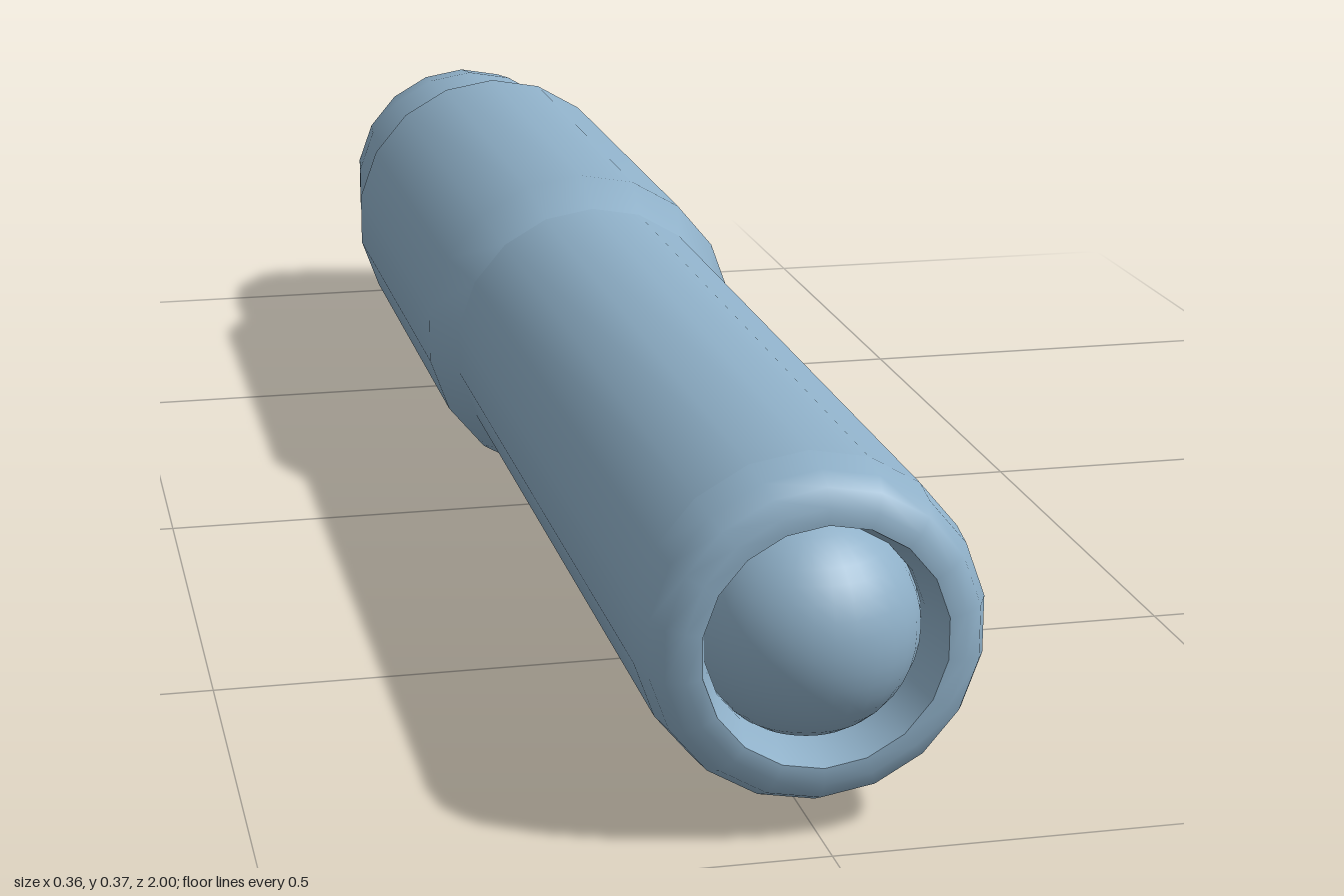
import * as THREE from 'three';

const SIDES = 18;
const AXIS_Y = 0.185;

export function createModel() {
  const model = new THREE.Group();
  const material = new THREE.MeshStandardMaterial({ color: 0x8fb0c8 });

  // Turned section along z: [radius, z] points, listed so the surface faces outward
  function turned(name, points) {
    const geometry = new THREE.LatheGeometry(points.map(([r, z]) => new THREE.Vector2(r, z)), SIDES);
    geometry.rotateX(Math.PI / 2);
    const mesh = new THREE.Mesh(geometry, material);
    mesh.name = name;
    mesh.position.y = AXIS_Y;
    model.add(mesh);
  }

  // Rear socket: closed bore, small step and flared mouth
  turned('rearBoreEnd', [[0, -0.84], [0.078, -0.84]]);
  turned('rearBore', [[0.078, -0.84], [0.078, -0.94]]);
  turned('rearBoreStep', [[0.078, -0.94], [0.09, -0.94]]);
  turned('rearMouth', [[0.09, -0.94], [0.122, -1]]);

  // Outer shell from the rounded tail to the front lip
  turned('tail', [[0.122, -1], [0.152, -0.94], [0.161, -0.87], [0.161, -0.76]]);
  turned('collar', [[0.161, -0.76], [0.185, -0.69], [0.185, -0.1], [0.161, -0.03]]);
  turned('barrel', [[0.161, -0.03], [0.161, 0.9]]);
  turned('frontLip', [[0.161, 0.9], [0.156, 0.94], [0.146, 0.96], [0.13, 0.97], [0.114, 0.97]]);

  // Tapered seat holding the ball
  turned('ballSeat', [[0.114, 0.97], [0.103, 0.93], [0.103, 0.85]]);

  // Ball protruding slightly from the front
  const ball = new THREE.Mesh(new THREE.SphereGeometry(0.105, 32, 20), material);
  ball.name = 'ball';
  ball.position.set(0, AXIS_Y, 0.895);
  model.add(ball);

  return model;
}
